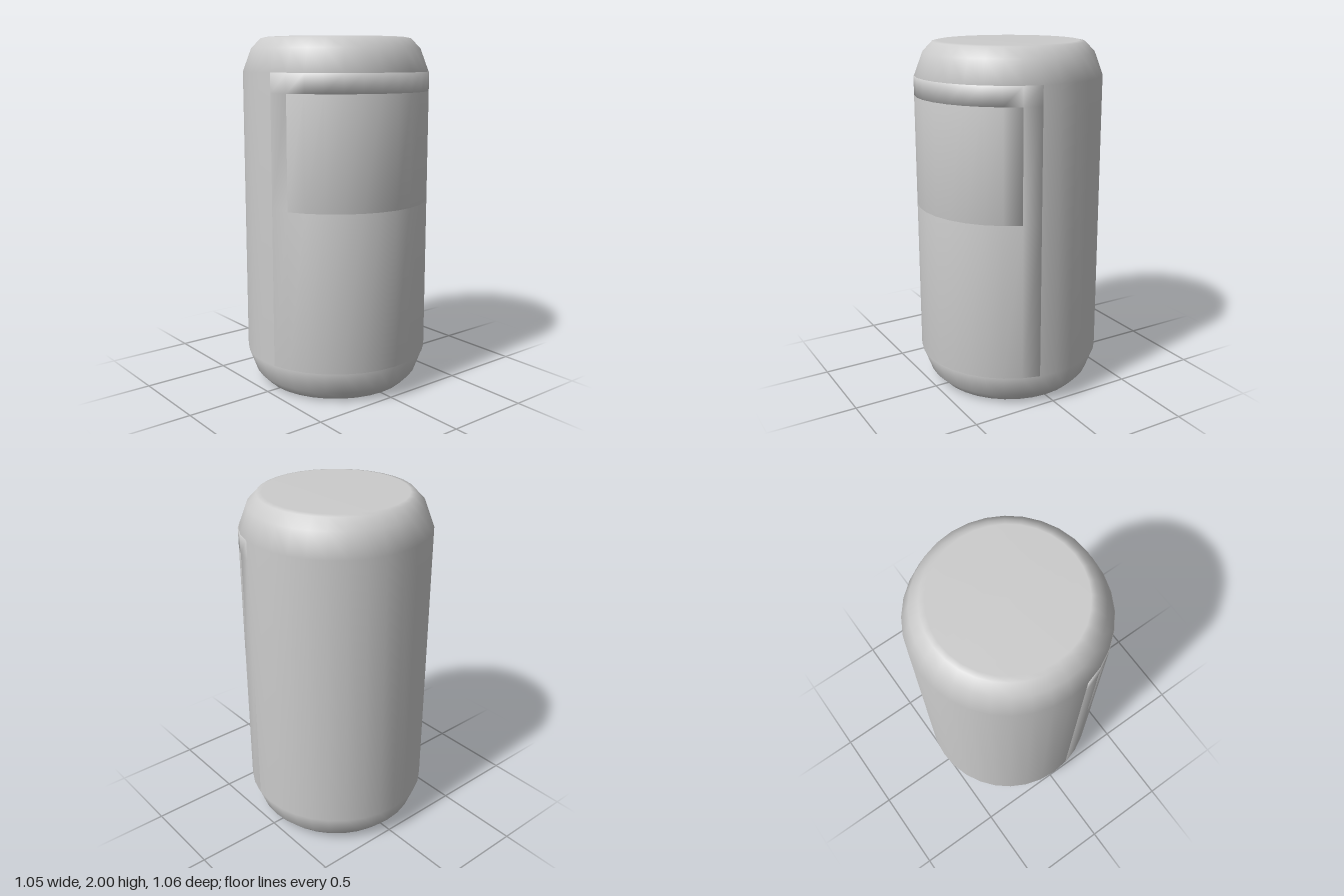
import * as THREE from 'three';
import { mergeVertices } from 'three/addons/utils/BufferGeometryUtils.js';

const SIDES = 32;
const STEP = (Math.PI * 2) / SIDES;
const OUTER = 0.53, INNER = 0.46;

const point = (r, col, y) => [r * Math.sin(col * STEP), y, r * Math.cos(col * STEP)];

// Curved plate following the can: columns from -half to half, rows between the
// given heights, with inward rims wherever a neighbouring cell is absent.
function curvedPlate(half, heights, isSolid) {
  const pos = [];
  const quad = (a, b, c, d) => pos.push(...a, ...b, ...c, ...a, ...c, ...d);
  const solid = (c, r) =>
    c >= -half && c < half && r >= 0 && r < heights.length - 1 && isSolid(c, r);
  for (let c = -half; c < half; c++) {
    for (let r = 0; r < heights.length - 1; r++) {
      if (!solid(c, r)) continue;
      const corners = [[c, heights[r]], [c + 1, heights[r]], [c + 1, heights[r + 1]], [c, heights[r + 1]]];
      quad(...corners.map(([k, y]) => point(OUTER, k, y)));
      const neighbours = [[c, r - 1], [c + 1, r], [c, r + 1], [c - 1, r]];
      neighbours.forEach(([nc, nr], i) => {
        if (solid(nc, nr)) return;
        const p = corners[i], q = corners[(i + 1) % 4];
        quad(point(OUTER, ...q), point(OUTER, ...p), point(INNER, ...p), point(INNER, ...q));
      });
    }
  }
  const geometry = new THREE.BufferGeometry();
  geometry.setAttribute('position', new THREE.Float32BufferAttribute(pos, 3));
  const merged = mergeVertices(geometry, 1e-4);
  merged.computeVertexNormals();
  return merged;
}

export function createModel() {
  const group = new THREE.Group();
  const material = new THREE.MeshStandardMaterial({ color: 0xcccccc });
  const add = (name, geometry) => {
    const mesh = new THREE.Mesh(geometry, material);
    mesh.name = name;
    group.add(mesh);
  };

  // Body: cylinder with rounded shoulders, the same at both ends
  const lower = [[0, 0], [0.395, 0], [0.425, 0.006], [0.479, 0.062], [0.527, 0.19]];
  const upper = lower.map(([r, y]) => [r, 2 - y]).reverse();
  const profile = [...lower, ...upper].map(([r, y]) => new THREE.Vector2(r, y));
  add('body', new THREE.LatheGeometry(profile, SIDES));

  // Front panel with an opening for the window
  add('frontPanel', curvedPlate(7, [0.193, 1.08, 1.703, 1.81],
    (c, r) => !(r === 1 && c >= -6 && c < 6)));

  // Window plate filling the opening
  add('frontWindow', curvedPlate(6, [1.08, 1.703], () => true));

  return group;
}
